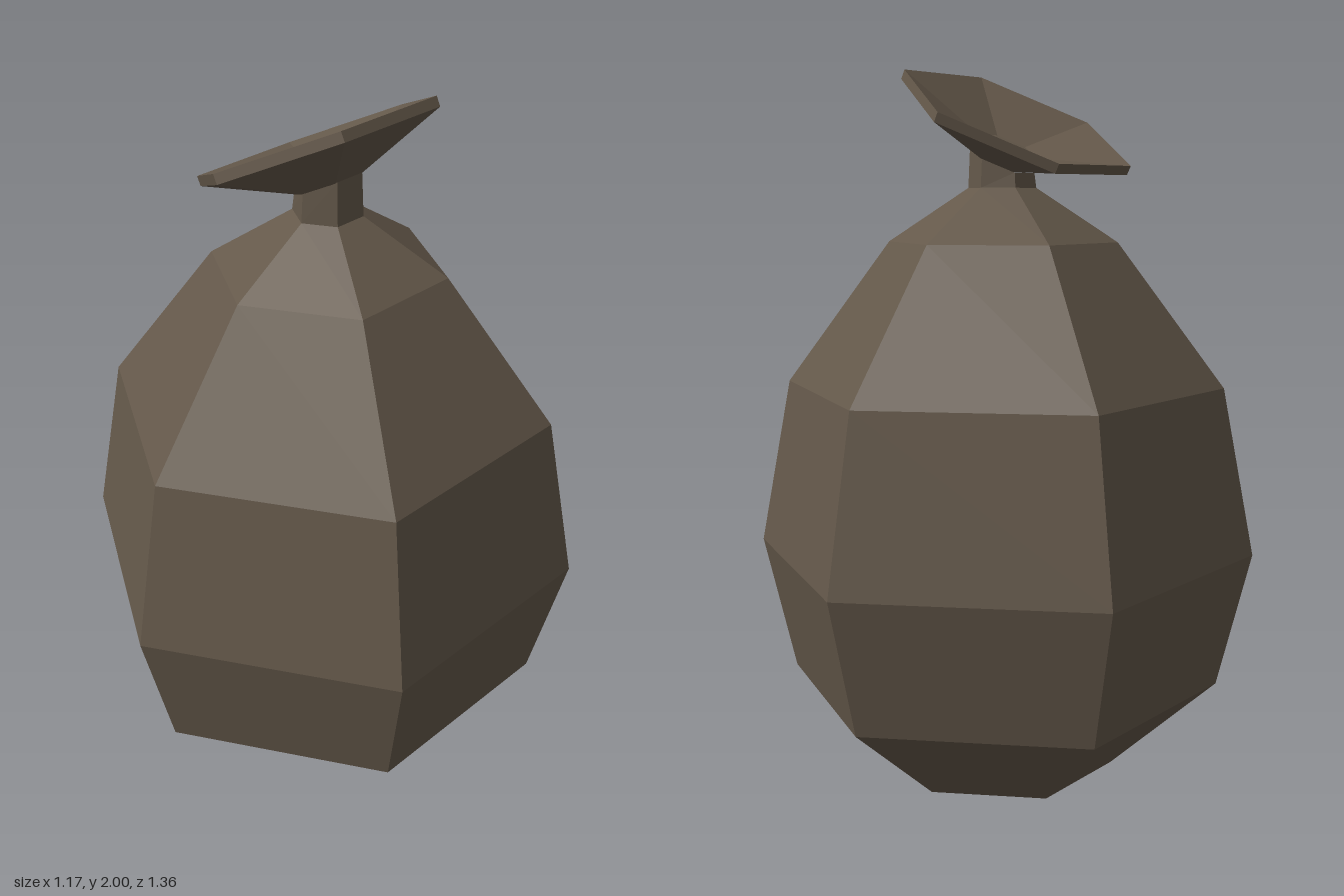
import * as THREE from 'three';

const SIDES = 6;
const TILT = 0.462; // lean of the flared top

// Six-sided turned shape from [radius, height] pairs, listed bottom to top
function turned(profile) {
  return new THREE.LatheGeometry(profile.map(([r, y]) => new THREE.Vector2(r, y)), SIDES);
}

export function createModel() {
  const group = new THREE.Group();
  const cloth = new THREE.MeshStandardMaterial({ color: 0x64584a, flatShading: true });
  cloth.name = 'brown cloth';

  function add(name, geometry) {
    const mesh = new THREE.Mesh(geometry, cloth);
    mesh.name = name;
    group.add(mesh);
    return mesh;
  }

  // Bulging sack, closed to a point underneath
  add('sackBody', turned([
    [0, 0], [0.305, 0.12], [0.59, 0.365], [0.678, 0.73],
    [0.59, 1.18], [0.305, 1.56], [0.09, 1.7],
  ]));

  // Pinched neck, its top edge sheared to meet the leaning flare
  const neck = new THREE.CylinderGeometry(0.085, 0.09, 0.075, SIDES, 1, true);
  neck.translate(0, 1.7375, 0);
  const p = neck.attributes.position;
  for (let i = 0; i < p.count; i++) {
    if (p.getY(i) > 1.74) p.setY(i, 1.775 + p.getX(i) * Math.tan(TILT));
  }
  neck.computeVertexNormals();
  add('neck', neck);

  // Flared mouth with a thin rim and a shallow dish
  const flare = add('flaredMouth', turned([
    [0.088, -0.116], [0.318, -0.026], [0.318, 0], [0.08, -0.08], [0, -0.08],
  ]));
  flare.position.set(-0.05, 1.878, 0);
  flare.rotation.z = TILT;

  return group;
}
